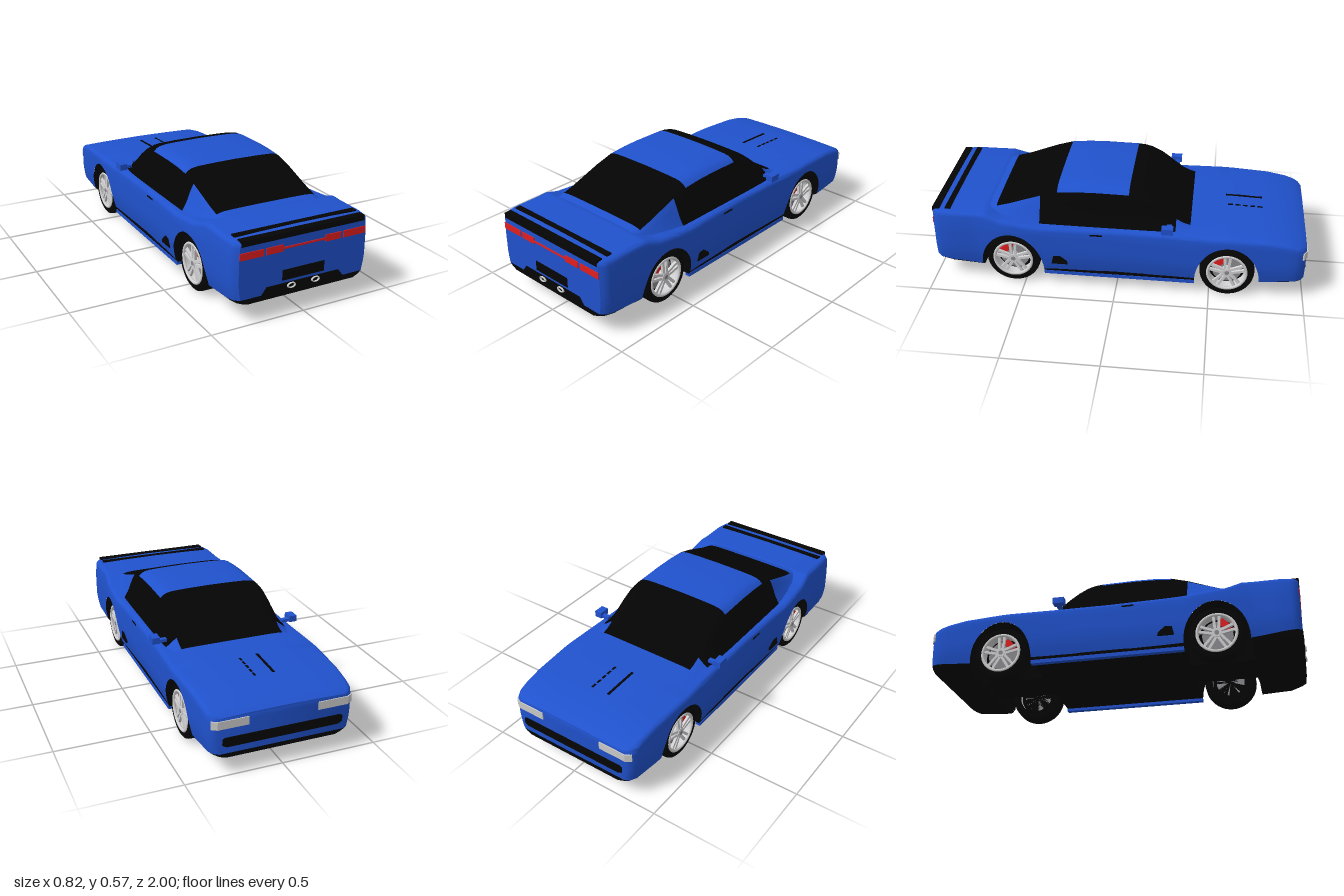
import * as THREE from 'three';
import { toCreasedNormals } from 'three/addons/utils/BufferGeometryUtils.js';

const mat = (name, color, side = THREE.FrontSide) => {
  const m = new THREE.MeshStandardMaterial({ color, side });
  m.name = name;
  return m;
};

// Piecewise-linear lookup in a list of [input, output] pairs
const lookup = (pts) => (v) => {
  let i = 1;
  while (i < pts.length - 1 && v > pts[i][0]) i++;
  const [a, b] = [pts[i - 1], pts[i]];
  const t = THREE.MathUtils.clamp((v - a[0]) / (b[0] - a[0]), 0, 1);
  return a[1] + (b[1] - a[1]) * t;
};

// Shape rules along the car (nose at -z, tail at +z)
const NOSE = -0.995, TAIL = 0.985, WHEELS = [-0.59, 0.56], ARCH = 0.17, ARCH_H = 0.213;
const halfWidth = lookup([[-0.995, 0.335], [-0.98, 0.36], [-0.945, 0.376], [-0.8, 0.385], [-0.55, 0.397], [-0.3, 0.389],
  [0, 0.385], [0.3, 0.392], [0.45, 0.401], [0.6, 0.397], [0.75, 0.384], [0.9, 0.385], [0.96, 0.376], [0.985, 0.352]]);
const deck = lookup([[-0.995, 0.308], [-0.97, 0.322], [-0.9, 0.343], [-0.8, 0.358], [-0.6, 0.366], [-0.4, 0.367],
  [0.4, 0.368], [0.62, 0.392], [0.66, 0.406], [0.7, 0.42], [0.9, 0.419], [0.985, 0.416]]);
const tuck = lookup([[0.05, 0.91], [0.1, 0.955], [0.15, 0.985], [0.2, 1], [0.33, 1], [0.42, 0.975]]);
const sill = lookup([[-0.995, 0.118], [-0.77, 0.1], [0.74, 0.1], [0.985, 0.128]]);
const under = lookup([[-0.995, 0.095], [-0.95, 0.075], [-0.76, 0.065], [0.74, 0.06], [0.9, 0.07], [0.985, 0.1]]);
const sideX = (z, y) => halfWidth(z) * tuck(y);

// Mirrored cross-sections joined along z; keep(station, column) selects patches
function loft(stations, half, { caps = false, keep = () => true } = {}) {
  const pos = [];
  const rings = stations.map((z) => {
    const h = half(z);
    return [...h, ...h.slice(0, -1).reverse().map(([x, y]) => [-x, y])].map(([x, y]) => [x, y, z]);
  });
  const quad = (a, b, c, d) => pos.push(...a, ...b, ...c, ...a, ...c, ...d);
  const n = rings[0].length;
  for (let i = 0; i < rings.length - 1; i++) {
    for (let j = 0; j < n - 1; j++) {
      if (keep(i, Math.min(j, n - 2 - j))) quad(rings[i][j], rings[i][j + 1], rings[i + 1][j + 1], rings[i + 1][j]);
    }
  }
  if (caps) {
    const [f, b] = [rings[0], rings[rings.length - 1]];
    for (let j = 0; j < (n - 1) / 2; j++) {
      quad(f[j], f[n - 1 - j], f[n - 2 - j], f[j + 1]);
      quad(b[j], b[j + 1], b[n - 2 - j], b[n - 1 - j]);
    }
  }
  const g = new THREE.BufferGeometry();
  g.setAttribute('position', new THREE.Float32BufferAttribute(pos, 3));
  return toCreasedNormals(g, 0.8);
}

const extrude = (pts, depth) => new THREE.ExtrudeGeometry(
  new THREE.Shape(pts.map(([x, y]) => new THREE.Vector2(x, y))), { depth, bevelEnabled: false });

// Half-tube inside a wheel arch, its outer rim pulled onto the body side
function archLiner(s, zc) {
  const g = new THREE.CylinderGeometry(ARCH, ARCH, 0.13, 24, 1, true, 0, Math.PI).rotateZ(Math.PI / 2)
    .scale(1, ARCH_H / ARCH, 1).translate(0, 0.1, zc);
  const p = g.attributes.position;
  for (let i = 0; i < p.count; i++) p.setX(i, s * (p.getX(i) > 0 ? sideX(p.getZ(i), p.getY(i)) - 0.001 : 0.24));
  return g;
}

export function createModel() {
  const car = new THREE.Group();
  const paint = mat('blue paint', 0x2052cd);
  const black = mat('black trim', 0x050505, THREE.DoubleSide);
  const glass = mat('dark glass', 0x040404);
  const red = mat('red', 0xe31e1e);
  const silver = mat('silver', 0xd2d2d4, THREE.DoubleSide);
  const grey = mat('brake grey', 0x8c8c90);
  const lamp = mat('headlight grey', 0xcacaca);

  const add = (name, geo, material, x = 0, y = 0, z = 0, parent = car) => {
    const m = new THREE.Mesh(geo, material);
    m.name = name;
    m.position.set(x, y, z);
    parent.add(m);
    return m;
  };
  // Box given by its limits
  const box = (name, material, x0, x1, y0, y1, z0, z1) => add(name,
    new THREE.BoxGeometry(Math.abs(x1 - x0), y1 - y0, z1 - z0), material, (x0 + x1) / 2, (y0 + y1) / 2, (z0 + z1) / 2);

  // Lower body with wheel arches cut into its bottom edge
  const stations = [NOSE, -0.98, -0.96, -0.945, -0.9, -0.85, -0.8, TAIL, 0.975, 0.96, 0.94, 0.9, 0.85, 0.8, 0.75];
  for (let z = -0.4; z < 0.39; z += 0.1) stations.push(z);
  for (const c of WHEELS) for (let k = 0; k <= 20; k++) stations.push(c - ARCH * Math.cos((k / 20) * Math.PI));
  stations.sort((a, b) => a - b);
  const bottom = (z) => {
    for (const c of WHEELS) {
      const d = Math.abs(z - c) / ARCH;
      if (d < 1) return 0.1 + ARCH_H * Math.sqrt(1 - d * d);
    }
    return sill(z);
  };
  add('body', loft(stations, (z) => {
    const lo = bottom(z), top = deck(z), r = 0.025, hi = top - r, pts = [];
    for (let k = 0; k <= 7; k++) {
      const y = lo + ((hi - lo) * k) / 7;
      pts.push([sideX(z, y), y]);
    }
    const x = sideX(z, hi) - r;
    for (const a of [0.4, 0.8, 1.2, Math.PI / 2]) pts.push([x + r * Math.cos(a), hi + r * Math.sin(a)]);
    return [...pts, [0.2, top + 0.004], [0, top + 0.006]];
  }, { caps: true }), paint);

  // Black lower bumpers
  const skirt = (z) => [[0, under(z)], [sideX(z, under(z)) * 0.88, under(z)],
    [sideX(z, under(z)) * 0.97, (under(z) + sill(z)) / 2], [sideX(z, sill(z)), sill(z)], [0, sill(z)]];
  add('frontLip', loft([NOSE, -0.98, -0.95, -0.85, -0.765], skirt, { caps: true }), black);
  add('rearLowerBumper', loft([0.735, 0.8, 0.9, 0.96, TAIL], skirt, { caps: true }), black);

  // Cabin: roof and pillars painted, the rest dark glass
  const cabinZ = [-0.385, -0.35, -0.31, -0.27, -0.23, -0.19, -0.14, -0.1, -0.06, 0.03, 0.12, 0.22, 0.32, 0.365, 0.41, 0.5, 0.58, 0.65, 0.69];
  const roof = lookup([[-0.385, 0.38], [-0.35, 0.393], [-0.31, 0.418], [-0.27, 0.455], [-0.23, 0.493], [-0.19, 0.525], [-0.14, 0.553],
    [-0.1, 0.565], [-0.06, 0.57], [0.12, 0.573], [0.22, 0.57], [0.32, 0.56], [0.41, 0.531], [0.5, 0.493], [0.58, 0.459], [0.65, 0.435], [0.69, 0.425]]);
  const cabinHalf = [[0.355, 0], [0.326, 0.28], [0.304, 0.6], [0.293, 0.74], [0.284, 0.83], [0.268, 0.905], [0.247, 0.95],
    [0.215, 0.975], [0.14, 0.99], [0, 1]];
  const section = (z) => cabinHalf.map(([x, t]) => [x, 0.36 + (roof(z) - 0.36) * t]);
  const painted = (i, j) => {
    const z = (cabinZ[i] + cabinZ[i + 1]) / 2;
    return j < 4 ? z < -0.31 || z > 0.41 : (z > -0.06 && z < 0.32) || z > 0.65;
  };
  add('roofAndPillars', loft(cabinZ, section, { keep: painted }), paint);
  add('windows', loft(cabinZ, section, { keep: (i, j) => !painted(i, j) }), glass);

  // Underside: floor, ceiling over the axles, centre tunnel, and walls around the wheel wells
  box('floor', black, -0.365, 0.365, 0.08, 0.102, -0.42, 0.39);
  box('axleCeiling', black, -0.25, 0.25, 0.25, 0.33, -0.78, 0.75);
  box('centreTunnel', black, -0.12, 0.12, 0.085, 0.3, -0.78, 0.75);
  for (const z of [-0.785, -0.42, 0.37, 0.735]) box('wellWall', black, -0.36, 0.36, 0.098, 0.33, z, z + 0.02);

  // Tail: spoiler, lights, plate, diffuser
  box('spoilerStrip', black, -0.34, 0.34, 0.41, 0.4265, 0.89, 0.92);
  box('spoilerLip', black, -0.34, 0.34, 0.396, 0.4245, 0.95, 0.989);
  box('tailLightStrip', red, -0.12, 0.12, 0.341, 0.351, 0.982, 0.989);
  box('platePanel', black, -0.117, 0.117, 0.18, 0.233, 0.982, 0.989);
  add('diffuser', extrude([[-0.24, 0.115], [0.24, 0.115], [0.203, 0.165], [-0.203, 0.165]], 0.007), black, 0, 0, 0.982);
  // Nose: grille with slanted ends
  add('grille', extrude([[-0.29, 0.153], [0.29, 0.153], [0.312, 0.165], [0.312, 0.195], [0.3, 0.203], [-0.3, 0.203], [-0.312, 0.195],
    [-0.312, 0.165]], 0.007), black, 0, 0, -0.9995);

  // Hood vents following the hood slope
  for (const [x, w] of [[-0.053, 0.013], [0.047, 0.01]]) {
    for (let k = 0; k < 5; k++) {
      const z = -0.765 + k * 0.04, y = deck(z + 0.02) + 0.006;
      box('hoodVent', black, x - w / 2, x + w / 2, y - 0.006, y + 0.002, z, z + (x < 0 ? 0.04 : 0.026));
    }
  }

  const intake = extrude([[-0.345, 0.147], [-0.258, 0.147], [-0.262, 0.165], [-0.3, 0.198], [-0.335, 0.194]], 0.008).rotateY(Math.PI / 2);
  const tyre = new THREE.LatheGeometry([[0.1, -0.05], [0.132, -0.05], [0.142, -0.042], [0.145, -0.03], [0.145, 0.03], [0.142, 0.042],
    [0.132, 0.05], [0.1, 0.05]].map(([x, y]) => new THREE.Vector2(x, y)), 40).rotateZ(Math.PI / 2);
  const disc = (r, w, n = 32) => new THREE.CylinderGeometry(r, r, w, n).rotateZ(Math.PI / 2);
  const rimRing = new THREE.TorusGeometry(0.102, 0.009, 8, 40).rotateY(Math.PI / 2);
  const barrel = new THREE.CylinderGeometry(0.1, 0.1, 0.094, 40, 1, true).rotateZ(Math.PI / 2);

  for (const s of [1, -1]) {
    // Side trim
    box('sillStrip', black, s * 0.34, s * 0.37, 0.08, 0.102, -0.42, 0.39);
    box('sideSkirt', paint, s * 0.345, s * 0.373, 0.064, 0.084, -0.42, 0.39);
    box('doorHandle', black, s * 0.375, s * 0.389, 0.335, 0.343, 0.07, 0.135);
    add('sideIntake', intake, black, s > 0 ? 0.386 : -0.394);
    box('mirrorArm', paint, s * 0.33, s * 0.39, 0.386, 0.402, -0.29, -0.265);
    box('mirror', paint, s * 0.37, s * 0.411, 0.386, 0.42, -0.3, -0.24);

    // Lights
    box('outerTailLight', red, s * 0.222, s * 0.349, 0.33, 0.365, 0.978, 0.989);
    box('innerTailLight', red, s * 0.117, s * 0.207, 0.33, 0.365, 0.982, 0.989);
    const plan = [[0.18, 0.99], [0.18, 1], [0.337, 1], [0.366, 0.982], [0.36, 0.97]].map(([x, z]) => [s * x, z]);
    add('headlight', extrude(plan, 0.042).rotateX(-Math.PI / 2), lamp, 0, 0.252, 0);

    // Exhaust tip
    const tip = add('exhaustTip', new THREE.TorusGeometry(0.02, 0.0045, 8, 24), lamp, s * 0.068, 0.148, 0.989);
    tip.scale.set(1, 0.6, 2);

    // Wheels
    for (const z of WHEELS) {
      add('wheelArchLiner', archLiner(s, z), black);
      const wheel = new THREE.Group();
      wheel.name = 'wheel';
      wheel.position.set(s * 0.32, 0.145, z);
      car.add(wheel);
      add('tyre', tyre, black, 0, 0, 0, wheel);
      add('barrel', barrel, silver, 0, 0, 0, wheel);
      add('wheelBack', disc(0.099, 0.01), black, -s * 0.015, 0, 0, wheel);
      add('brakeDisc', disc(0.08, 0.03), grey, -s * 0.005, 0, 0, wheel);
      add('rimRing', rimRing, silver, s * 0.046, 0, 0, wheel);
      add('hub', disc(0.024, 0.05, 20), silver, s * 0.025, 0, 0, wheel);
      add('hubCap', disc(0.012, 0.004, 16), grey, s * 0.051, 0, 0, wheel);
      const caliper = add('caliper', new THREE.BoxGeometry(0.022, 0.036, 0.07), red, s * 0.02, 0.05, 0.042, wheel);
      caliper.rotation.x = Math.PI / 4;
      for (let k = 0; k < 5; k++) {
        const spoke = new THREE.Group();
        spoke.name = 'spoke';
        spoke.rotation.x = (k / 5) * Math.PI * 2;
        wheel.add(spoke);
        for (const e of [1, -1]) {
          add('spokeBar', new THREE.BoxGeometry(0.014, 0.088, 0.014), silver, s * 0.04, 0.057, e * 0.012, spoke).rotation.x = e * 0.08;
        }
      }
    }
  }
  return car;
}
